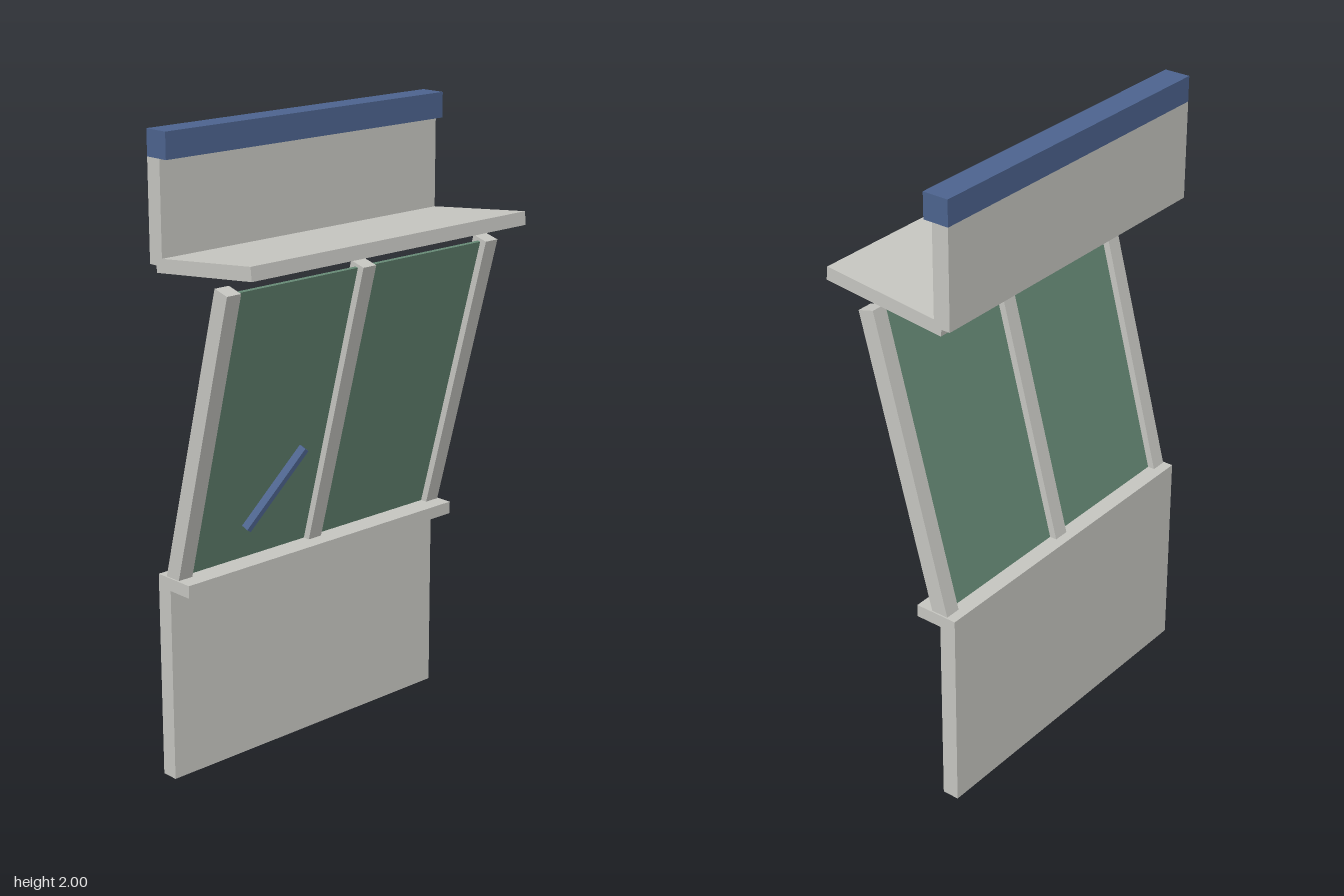
import * as THREE from 'three';

export function createModel() {
  const concrete = new THREE.MeshStandardMaterial({ name: 'pale grey', color: 0xc5c5c0 });
  const blue = new THREE.MeshStandardMaterial({ name: 'slate blue', color: 0x4c638e });
  const green = new THREE.MeshStandardMaterial({ name: 'green glass', color: 0x658874 });

  const model = new THREE.Group();
  model.name = 'windowBay';

  // Box given by its extents on each axis
  const box = (name, material, [x0, x1], [y0, y1], [z0, z1], parent = model) => {
    const mesh = new THREE.Mesh(new THREE.BoxGeometry(x1 - x0, y1 - y0, z1 - z0), material);
    mesh.position.set((x0 + x1) / 2, (y0 + y1) / 2, (z0 + z1) / 2);
    mesh.name = name;
    parent.add(mesh);
    return mesh;
  };

  const width = [-0.555, 0.555];
  const back = -0.222, front = -0.167;
  const tilt = THREE.MathUtils.degToRad(15);

  // Walls, sill and top beam
  box('lowerWall', concrete, width, [0, 0.66], [back, front]);
  box('sill', concrete, width, [0.62, 0.66], [front, -0.08]);
  box('upperWall', concrete, width, [1.61, 1.92], [back, front]);
  box('topBeam', blue, width, [1.92, 2], [back, -0.138]);

  // Canopy rising gently toward the front
  const canopy = box('canopy', concrete, width, [-0.021, 0.021], [-0.2075, 0.2075]);
  canopy.position.set(0, 1.6315, 0.0135);
  canopy.rotation.x = -THREE.MathUtils.degToRad(6);

  // Window leaning out over the sill
  const frame = new THREE.Group();
  frame.name = 'leaningWindow';
  frame.position.set(0, 0.66, -0.1615);
  frame.rotation.x = tilt;
  model.add(frame);
  for (const x of [-0.524, 0, 0.524]) {
    box('mullion', concrete, [x - 0.026, x + 0.026], [-0.02, 0.95], [-0.0275, 0.0275], frame);
  }
  for (const x of [-0.262, 0.262]) {
    box('glassPane', green, [x - 0.236, x + 0.236], [-0.01, 0.94], [-0.005, 0.005], frame);
  }

  // Slanted handle in front of the glass
  const handle = box('handle', blue, [-0.008, 0.008], [-0.15, 0.15], [-0.015, 0.015]);
  handle.position.set(-0.248, 0.904, -0.038);
  handle.rotation.set(tilt, 0, -THREE.MathUtils.degToRad(35), 'ZYX');

  return model;
}
